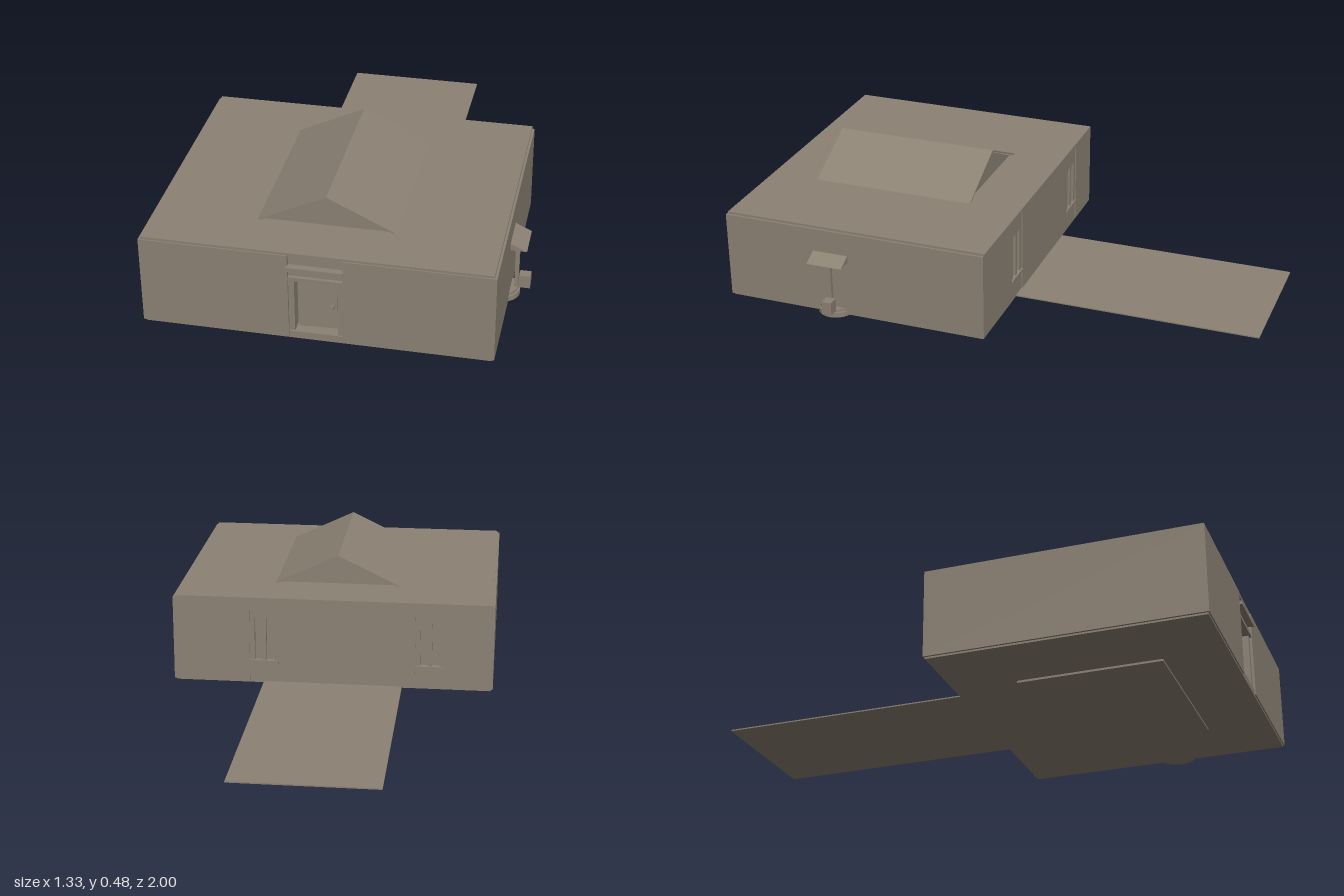
import * as THREE from 'three';

const stone = new THREE.MeshStandardMaterial({ color: 0x8c8274 });
stone.name = 'warm grey stone';

export function createModel() {
  const model = new THREE.Group();
  model.name = 'house';

  const add = (parent, name, geometry) => {
    const mesh = new THREE.Mesh(geometry, stone);
    mesh.name = name;
    parent.add(mesh);
    return mesh;
  };
  // Box given by its limits on each axis
  const box = (parent, name, x0, x1, y0, y1, z0, z1) => {
    const mesh = add(parent, name, new THREE.BoxGeometry(x1 - x0, y1 - y0, z1 - z0));
    mesh.position.set((x0 + x1) / 2, (y0 + y1) / 2, (z0 + z1) / 2);
    return mesh;
  };
  // Outline in x and y, extruded from z0 to z1
  const prism = (parent, name, points, z0, z1) => {
    const shape = new THREE.Shape(points.map(([x, y]) => new THREE.Vector2(x, y)));
    const mesh = add(parent, name, new THREE.ExtrudeGeometry(shape, { depth: z1 - z0, bevelEnabled: false }));
    mesh.position.z = z0;
    return mesh;
  };
  const group = (name) => {
    const g = new THREE.Group();
    g.name = name;
    model.add(g);
    return g;
  };

  // Ground plates
  const base = group('base');
  box(base, 'lowerPlate', -0.37, 0.305, 0, 0.009, 0.2, 0.75);
  box(base, 'floorSlab', -0.657, 0.584, 0.008, 0.017, -0.045, 0.985);
  box(base, 'backPath', -0.31, 0.235, 0.008, 0.013, -1, -0.04);

  // Walls around a closed core
  const walls = group('walls');
  const left = 0.592, right = -0.665, front = 0.99, back = -0.05;
  const low = 0.015, high = 0.352;
  box(walls, 'core', right + 0.02, left - 0.02, low, high, back + 0.02, 0.93);
  box(walls, 'leftWall', left - 0.03, left, low, high, back, front);
  box(walls, 'rightWall', right, right + 0.03, low, high, back, front);
  box(walls, 'frontWallRight', right, -0.133, low, high, 0.92, front);
  box(walls, 'frontWallLeft', 0.06, left, low, high, 0.92, front);
  const windows = [[-0.475, -0.36], [0.175, 0.29]];
  [[right, -0.475], [-0.36, 0.175], [0.29, left]].forEach(([x0, x1]) =>
    box(walls, 'backWall', x0, x1, low, high, back, back + 0.03));

  // Back windows: sill and head panels, frame and mullion
  windows.forEach(([x0, x1]) => {
    const w = group('window');
    const z0 = back + 0.004, z1 = back + 0.03;
    box(w, 'panelBelow', x0, x1, low, 0.09, z0, z1);
    box(w, 'panelAbove', x0, x1, 0.29, high, z0, z1);
    const mid = (x0 + x1) / 2;
    [[x0, x0 + 0.02], [mid - 0.008, mid + 0.008], [x1 - 0.02, x1]].forEach(([a, b]) =>
      box(w, 'frameUpright', a, b, 0.09, 0.29, z0, z1));
    box(w, 'frameSill', x0, x1, 0.09, 0.102, back - 0.003, z1);
    box(w, 'frameHead', x0, x1, 0.278, 0.29, z0, z1);
  });

  // Entrance: stepped lintels, threshold, jambs and recessed door
  const entrance = group('entrance');
  box(entrance, 'panelAbove', -0.133, 0.06, 0.25, high, 0.92, 0.975);
  box(entrance, 'upperLintel', -0.137, 0.064, 0.295, 0.31, 0.93, 1);
  box(entrance, 'lowerLintel', -0.133, 0.06, 0.25, 0.264, 0.93, 0.988);
  box(entrance, 'threshold', -0.133, 0.06, low, 0.036, 0.92, 0.985);
  box(entrance, 'jambRight', -0.133, -0.113, 0.036, 0.25, 0.92, 0.98);
  box(entrance, 'jambLeft', 0.04, 0.06, 0.036, 0.25, 0.92, 0.98);
  const door = box(entrance, 'door', -0.105, 0.03, 0.036, 0.23, 0.935, 0.945);
  door.rotation.y = 0.06;
  box(entrance, 'doorHandle', 0.012, 0.02, 0.12, 0.135, 0.94, 0.953);

  // Flat roof with a small gable
  const roof = group('roof');
  box(roof, 'roofSlab', -0.656, 0.583, 0.35, 0.361, back - 0.003, 0.985);
  prism(roof, 'gableBody', [[-0.275, 0.355], [0.2, 0.355], [-0.0375, 0.472]], 0.165, 0.785);
  const ridge = -0.0375;
  prism(roof, 'gableSlopes', [
    [ridge, 0.48], [-0.29, 0.359], [-0.276, 0.359],
    [ridge, 0.473], [0.201, 0.359], [0.215, 0.359],
  ], 0.15, 0.795);

  // Roofed well against the left wall
  const well = group('well');
  const disc = (name, r, y0, y1) => {
    const mesh = add(well, name, new THREE.CylinderGeometry(r, r, y1 - y0, 24));
    mesh.position.set(0.557, (y0 + y1) / 2, 0.56);
  };
  disc('wellFoot', 0.07, 0.008, 0.028);
  disc('wellRim', 0.062, 0.028, 0.038);
  box(well, 'post', 0.605, 0.62, 0.03, 0.238, 0.55, 0.566);
  box(well, 'postCap', 0.596, 0.625, 0.222, 0.236, 0.545, 0.571);
  prism(well, 'wellRoof', [[0.58, 0.235], [0.652, 0.235], [0.595, 0.262], [0.58, 0.262]], 0.49, 0.63);
  box(well, 'bucket', 0.622, 0.663, 0.04, 0.09, 0.533, 0.571);

  return model;
}
